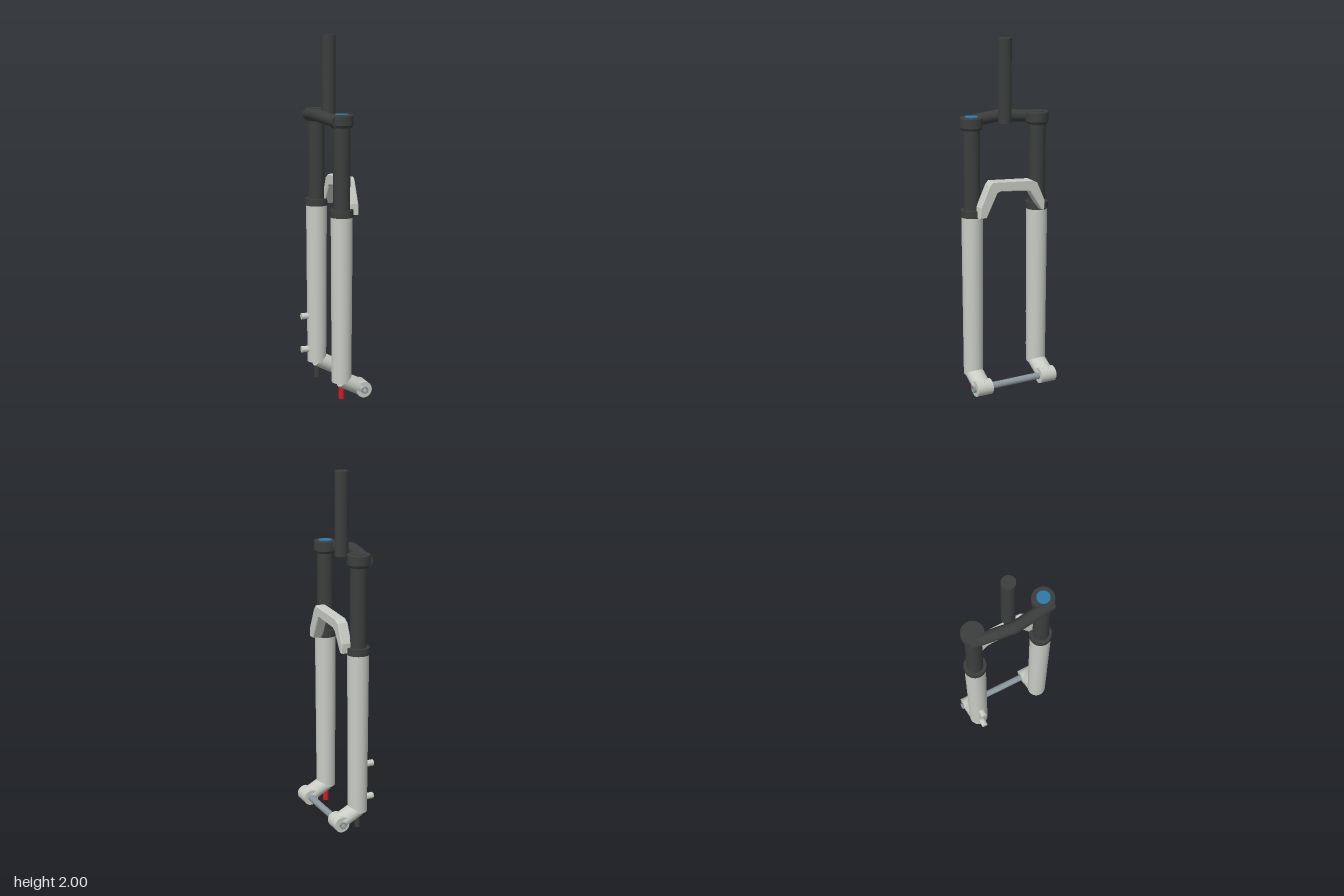
import * as THREE from 'three';

const mat = (color) => new THREE.MeshStandardMaterial({ color });
const LEG_X = -0.03, LEG_Z = 0.205, AXLE_X = 0.088, AXLE_Y = 0.052;

export function createModel() {
  const root = new THREE.Group();
  const dark = mat(0x3c3e3e), pale = mat(0xc9ccc5), steel = mat(0x8b979d);
  const blue = mat(0x2f78a8), red = mat(0xc4202c);

  const add = (name, geometry, material, x = 0, y = 0, z = 0) => {
    const mesh = new THREE.Mesh(geometry, material);
    mesh.name = name;
    mesh.position.set(x, y, z);
    root.add(mesh);
    return mesh;
  };
  // upright cylinder between two heights
  const post = (name, r0, r1, y0, y1, x, z, material) =>
    add(name, new THREE.CylinderGeometry(r1, r0, y1 - y0, 40), material, x, (y0 + y1) / 2, z);
  // cylinder between two points
  const rod = (name, a, b, r, material) => {
    const p = new THREE.Vector3(...a), q = new THREE.Vector3(...b);
    const d = q.clone().sub(p);
    const mesh = add(name, new THREE.CylinderGeometry(r, r, d.length(), 32), material);
    mesh.position.copy(p).add(q).multiplyScalar(0.5);
    mesh.quaternion.setFromUnitVectors(new THREE.Vector3(0, 1, 0), d.normalize());
    return mesh;
  };

  post('steererTube', 0.038, 0.038, 1.535, 2, LEG_X, 0, dark);

  // crown: two sloping tubes meeting in front of the steerer
  const bend = [-0.102, 1.567, 0];
  add('crownBend', new THREE.SphereGeometry(0.0335, 32, 20), dark, ...bend);

  for (const s of [1, -1]) {
    const z = s * LEG_Z;
    rod('crownTube', bend, [-0.067, 1.55, s * 0.237], 0.0335, dark);

    // crown clamp with a chamfered lower rim, and its cap
    const clamp = [[0, 1.515], [0.054, 1.515], [0.0635, 1.53], [0.0635, 1.58], [0.06, 1.585], [0, 1.585]];
    // doubled corners keep the rims crisp
    const profile = clamp.flatMap(([r, y]) => [new THREE.Vector2(r, y), new THREE.Vector2(r, y)]);
    add('crownClamp', new THREE.LatheGeometry(profile, 48), dark, LEG_X, 0, z);
    post('topCap', 0.037, 0.037, 1.57, 1.588, LEG_X, z, s > 0 ? blue : dark);

    post('stanchion', 0.046, 0.046, 1.04, 1.53, LEG_X, z, dark);
    post('wiperSeal', 0.0635, 0.0635, 1.03, 1.07, LEG_X, z, dark);
    post('lowerLeg', 0.055, 0.06, 0.1, 1.03, LEG_X, z, pale);
    post('footBolt', 0.016, 0.016, 0, 0.11, LEG_X, z, s > 0 ? red : dark);

    // dropout: angled arm carrying a sideways axle boss
    const arm = rod('dropoutArm', [-0.03, 0.113, z], [0.088, 0.052, z], 0.045, pale);
    arm.scale.z = 1.17;
    rod('dropoutBoss', [AXLE_X, AXLE_Y, z - 0.048], [AXLE_X, AXLE_Y, z + 0.048], 0.045, pale);

    // axle end with a hexagonal socket
    const end = new THREE.Shape().absarc(0, 0, 0.0195, 0, Math.PI * 2);
    const hex = [0, 1, 2, 3, 4, 5].map((i) =>
      new THREE.Vector2(0.013 * Math.cos(i * Math.PI / 3), 0.013 * Math.sin(i * Math.PI / 3)));
    end.holes.push(new THREE.Path(hex));
    add('axleEnd', new THREE.ExtrudeGeometry(end, { depth: 0.02, bevelEnabled: false, curveSegments: 32 }),
      steel, AXLE_X, AXLE_Y, s > 0 ? 0.248 : -0.268);
  }

  rod('axle', [AXLE_X, AXLE_Y, -0.249], [AXLE_X, AXLE_Y, 0.249], 0.0195, steel);

  // brake mounts on one leg
  for (const y of [0.175, 0.375])
    rod('brakeMount', [-0.125, y, -0.208], [-0.05, y, -0.208], 0.0185, pale);

  // arch between the lower legs, outline given as (z, y)
  const outline = [
    [0.205, 1.035], [0.2, 1.095], [0.145, 1.215], [0.128, 1.235], [-0.12, 1.219], [-0.155, 1.2],
    [-0.202, 1.095], [-0.2, 1.04], [-0.183, 1.04], [-0.113, 1.15], [-0.093, 1.16],
    [0.075, 1.176], [0.096, 1.168], [0.163, 1.035],
  ];
  const shape = new THREE.Shape(outline.map(([z, y]) => new THREE.Vector2(-z, y)));
  const arch = add('archBrace', new THREE.ExtrudeGeometry(shape, {
    depth: 0.052, bevelThickness: 0.005, bevelSize: 0.004, bevelOffset: -0.004, bevelSegments: 1,
  }), pale, 0.013, 0, 0);
  arch.rotation.y = Math.PI / 2;

  return root;
}
